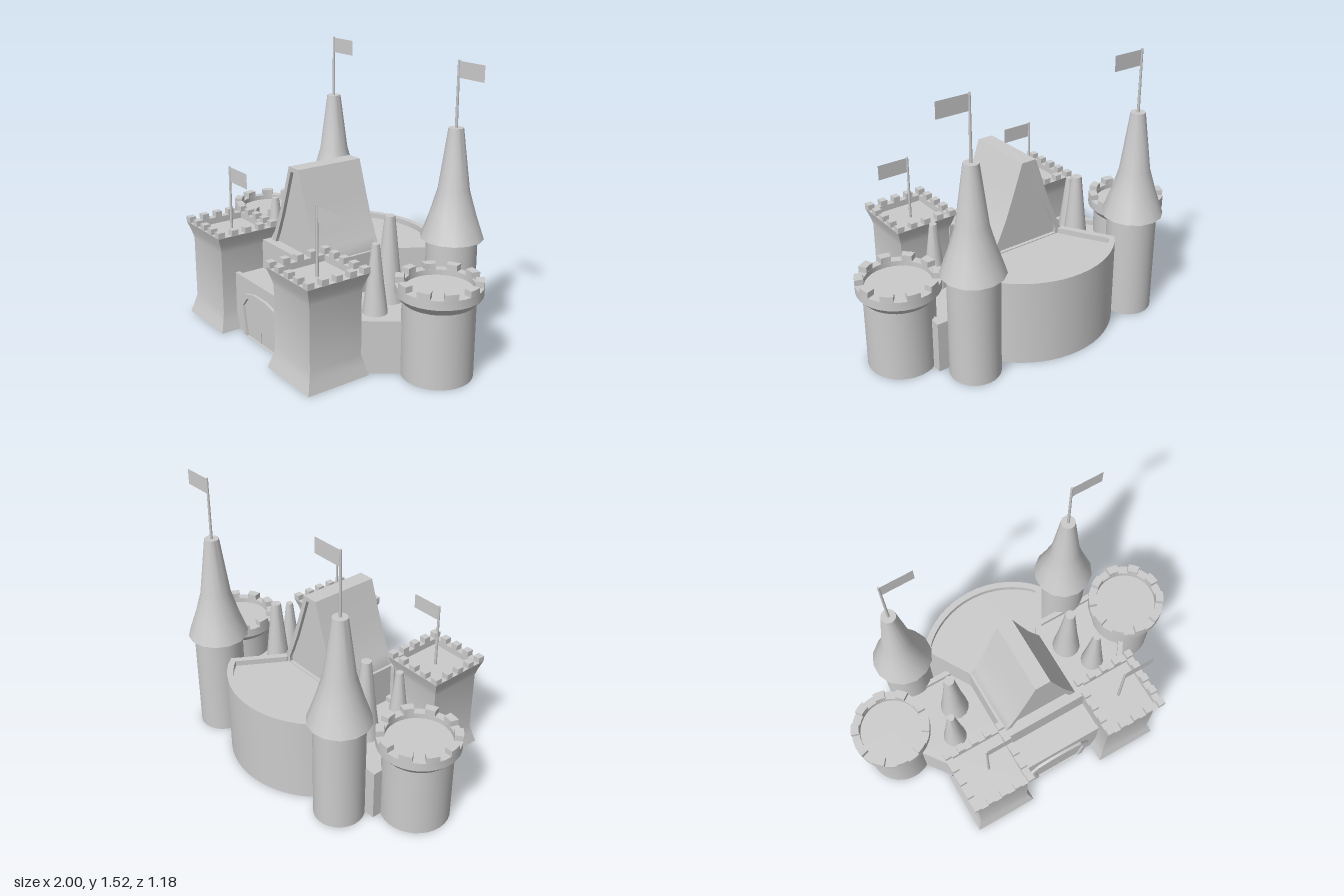
import * as THREE from 'three';
import { toCreasedNormals } from 'three/addons/utils/BufferGeometryUtils.js';

const stone = new THREE.MeshStandardMaterial({ color: 0xcccccc, side: THREE.DoubleSide });

function add(parent, name, geometry, x = 0, y = 0, z = 0) {
  const mesh = new THREE.Mesh(geometry, stone);
  mesh.name = name;
  mesh.position.set(x, y, z);
  parent.add(mesh);
  return mesh;
}

const vec = (pts) => pts.map(([x, y]) => new THREE.Vector2(x, y));

// Half outline (x >= 0) completed by its mirror image
const mirrored = (half) => [...half, ...half.filter((p) => p[0] > 0.001).reverse().map(([x, y]) => [-x, y])];

// Turned shape from a [radius, height] profile
const turned = (profile, sides) => toCreasedNormals(new THREE.LatheGeometry(vec(profile), sides), 0.5);

// Square shape from a [half width, height] profile
function squareTurned(profile) {
  const g = new THREE.LatheGeometry(vec(profile.map(([r, y]) => [r * Math.SQRT2, y])), 4);
  return toCreasedNormals(g.rotateY(Math.PI / 4), 0.5);
}

// Outline moved inwards by d with mitred corners
function inset(pts, d) {
  const v = vec(pts), n = v.length;
  const s = THREE.ShapeUtils.area(v) > 0 ? 1 : -1;
  return v.map((p, i) => {
    const a = p.clone().sub(v[(i + n - 1) % n]).normalize();
    const b = v[(i + 1) % n].clone().sub(p).normalize();
    const na = new THREE.Vector2(-a.y, a.x), nb = new THREE.Vector2(-b.y, b.x);
    const m = na.clone().add(nb);
    m.multiplyScalar((s * d) / (1 + na.dot(nb)));
    return [p.x + m.x, p.y + m.y];
  });
}

function extruded(pts, depth, hole) {
  const shape = new THREE.Shape(vec(pts));
  if (hole) shape.holes.push(new THREE.Path(vec(hole)));
  return toCreasedNormals(new THREE.ExtrudeGeometry(shape, { depth, bevelEnabled: false }), 0.5);
}

// Open-bottomed block with a rim around a sunken floor; plan points are [x, -z]
function rimmedBlock(parent, name, plan, top, floor, rim) {
  const inner = inset(plan, rim);
  add(parent, name + 'Wall', extruded(plan, top, inner).rotateX(-Math.PI / 2));
  add(parent, name + 'Floor', new THREE.ShapeGeometry(new THREE.Shape(vec(inner))).rotateX(-Math.PI / 2), 0, floor, 0);
}

// Pole with a flag flying towards +x
function flagpole(parent, x, z, bottom, top) {
  const g = new THREE.Group();
  g.name = 'flagpole';
  g.position.set(x, 0, z);
  add(g, 'pole', new THREE.CylinderGeometry(0.006, 0.008, top - bottom, 8), 0, (top + bottom) / 2, 0);
  add(g, 'flag', new THREE.PlaneGeometry(0.18, 0.085), 0.092, top - 0.047, 0);
  parent.add(g);
}

function roundTower(parent, x) {
  const g = new THREE.Group();
  g.name = 'roundTower';
  g.position.set(x, 0, -0.075);
  add(g, 'towerBody', turned([
    [0.185, 0], [0.185, 0.4], [0.22, 0.44], [0.22, 0.488], [0.175, 0.488], [0.175, 0.46], [0, 0.46],
  ], 32));
  // Curved merlons
  const count = 10, half = Math.PI / count / 2;
  for (let i = 0; i < count; i++) {
    const a = (i / count) * Math.PI * 2 + half;
    const shape = new THREE.Shape();
    shape.absarc(0, 0, 0.22, a - half, a + half, false);
    shape.absarc(0, 0, 0.175, a + half, a - half, true);
    const geo = new THREE.ExtrudeGeometry(shape, { depth: 0.034, bevelEnabled: false, curveSegments: 3 });
    add(g, 'merlon', geo.rotateX(-Math.PI / 2), 0, 0.486, 0);
  }
  parent.add(g);
}

function squareTower(parent, x) {
  const g = new THREE.Group();
  g.name = 'squareTower';
  g.position.set(x, 0, 0.405);
  add(g, 'towerBody', squareTurned([
    [0.185, 0], [0.168, 0.06], [0.156, 0.11], [0.156, 0.46], [0.166, 0.5], [0.185, 0.555],
    [0.145, 0.555], [0.145, 0.52], [0, 0.52],
  ]));
  // Merlons on the border cells of a five by five grid
  for (let i = -2; i <= 2; i++) {
    for (let j = -2; j <= 2; j++) {
      if (Math.max(Math.abs(i), Math.abs(j)) < 2) continue;
      add(g, 'merlon', new THREE.BoxGeometry(0.04, 0.034, 0.04), i * 0.0825, 0.57, j * 0.0825);
    }
  }
  flagpole(g, 0, 0, 0.52, 0.89);
  parent.add(g);
}

function spireTower(parent, x) {
  const g = new THREE.Group();
  g.name = 'spireTower';
  g.position.set(x, 0, -0.385);
  add(g, 'towerBody', turned([[0.136, 0], [0.136, 0.59]], 28));
  add(g, 'spireRoof', turned([
    [0.13, 0.59], [0.169, 0.59], [0.122, 0.725], [0.084, 0.855], [0.04, 1.18], [0, 1.18],
  ], 14));
  flagpole(g, 0, 0, 1.17, 1.525);
  parent.add(g);
}

export function createModel() {
  const castle = new THREE.Group();
  castle.name = 'castle';

  // Low courtyard
  const court = mirrored([[0.57, -0.24], [0.69, -0.08], [0.69, 0.29]]);
  rimmedBlock(castle, 'courtyard', court, 0.29, 0.26, 0.03);

  // Keep with a curved back
  const half = [[0.24, -0.3], [0.24, 0.14], [0.395, 0.4]];
  for (let i = 1; i <= 8; i++) {
    const a = 0.86 * (1 - i / 8);
    half.push([Math.sin(a) * 0.52, 0.067 + Math.cos(a) * 0.52]);
  }
  rimmedBlock(castle, 'keep', mirrored(half), 0.486, 0.455, 0.035);

  // Steep gable roof with a framed panel at each end
  const gable = mirrored([[0.225, 0.45], [0.225, 0.488], [0.195, 0.55], [0.15, 0.65], [0.105, 0.775], [0.045, 0.95]]);
  const panel = mirrored([[0.188, 0.46], [0.188, 0.492], [0.16, 0.556], [0.12, 0.655], [0.08, 0.77], [0.028, 0.925]]);
  add(castle, 'gableRoof', extruded(gable, 0.36), 0, 0, -0.12);
  for (const z of [-0.14, 0.24]) add(castle, 'gableFrame', extruded(gable, 0.02, panel), 0, 0, z);

  // Gatehouse with a lip along its ledge
  add(castle, 'gatehouse', new THREE.BoxGeometry(0.54, 0.315, 0.22), 0, 0.1575, 0.365);
  add(castle, 'gatehouseLip', new THREE.BoxGeometry(0.54, 0.33, 0.025), 0, 0.165, 0.4645);
  add(castle, 'upperWall', new THREE.BoxGeometry(0.53, 0.486, 0.06), 0, 0.243, 0.27);

  // Gate arch and double door
  const arch = mirrored([[0.165, 0], [0.2, 0.185], [0.145, 0.248], [0.055, 0.268]]);
  const opening = mirrored([[0.135, 0.001], [0.168, 0.172], [0.122, 0.226], [0.05, 0.243]]);
  add(castle, 'gateArch', extruded(arch, 0.03, opening), 0, 0, 0.463);
  add(castle, 'gateDoor', extruded(opening, 0.012), 0, 0, 0.468);
  add(castle, 'doorSeam', new THREE.BoxGeometry(0.004, 0.065, 0.006), 0, 0.034, 0.481);

  // Towers and slim courtyard spires on both sides
  for (const s of [1, -1]) {
    roundTower(castle, s * 0.78);
    squareTower(castle, s * 0.42);
    spireTower(castle, s * 0.53);
    add(castle, 'slimSpire', turned([[0.083, 0.26], [0.06, 0.43], [0.028, 0.73], [0, 0.73]], 14), s * 0.385, 0, -0.08);
    add(castle, 'slimSpire', turned([[0.068, 0.26], [0.046, 0.42], [0.02, 0.635], [0, 0.635]], 14), s * 0.47, 0, 0.08);
  }
  return castle;
}
